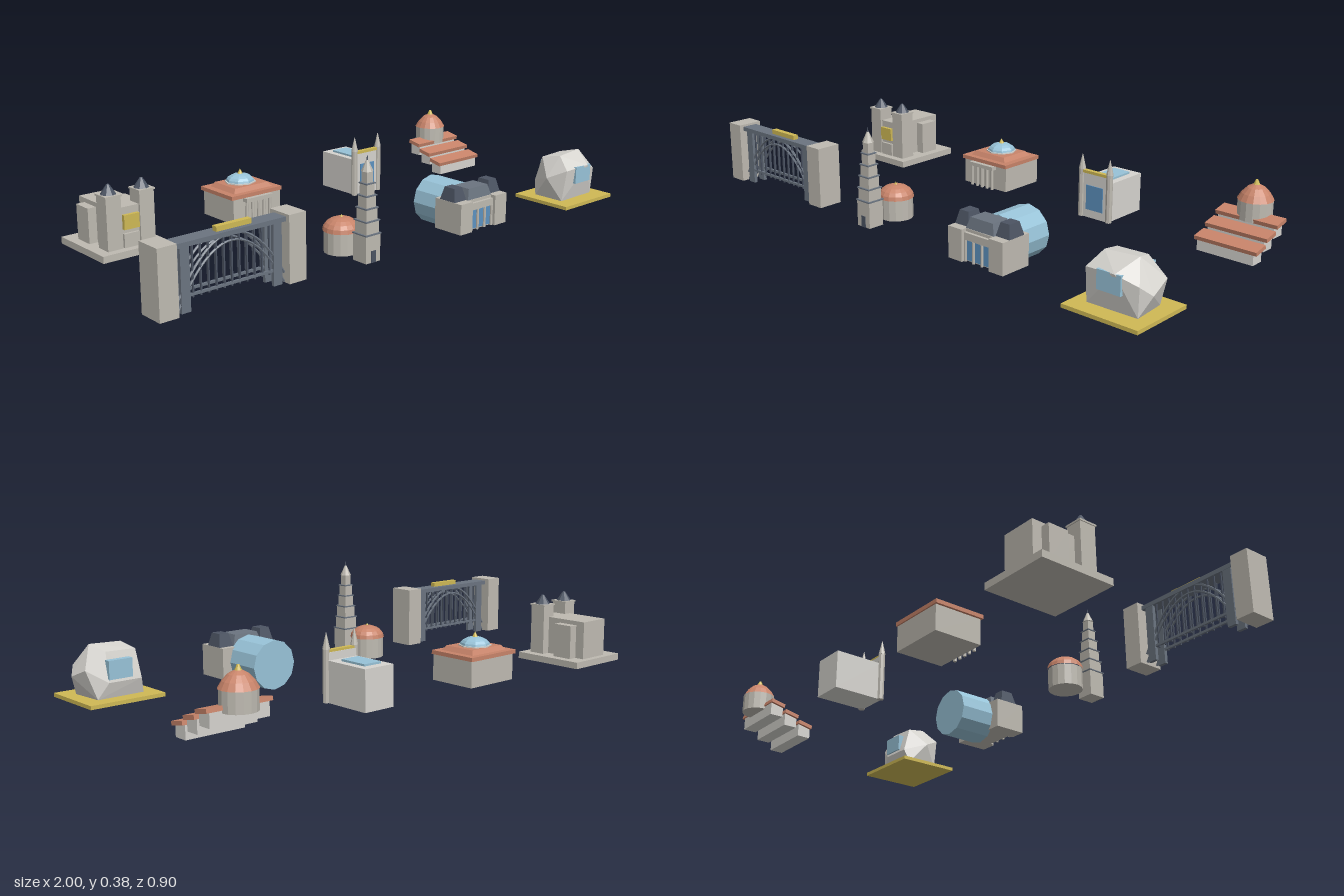
import * as THREE from 'three';
import { ConvexGeometry } from 'three/addons/geometries/ConvexGeometry.js';

const mat = (color) => new THREE.MeshStandardMaterial({ color, flatShading: true });
const stone = mat(0xbebab1), white = mat(0xd6d4cf), slate = mat(0x6b7480), dark = mat(0x4c5463);
const tile = mat(0xc8846a), gold = mat(0xcfb955), glass = mat(0x98c3d8), blue = mat(0x5d92c0);

function add(parent, name, geo, material, x = 0, y = 0, z = 0) {
  const m = new THREE.Mesh(geo, material);
  m.name = name;
  m.position.set(x, y, z);
  parent.add(m);
  return m;
}

// Box given by its extents
function box(parent, name, material, x0, x1, y0, y1, z0, z1) {
  return add(parent, name, new THREE.BoxGeometry(x1 - x0, y1 - y0, z1 - z0), material,
    (x0 + x1) / 2, (y0 + y1) / 2, (z0 + z1) / 2);
}

// Upright cylinder, cone or frustum between two heights
function drum(parent, name, material, x, z, y0, y1, rBottom, rTop = rBottom, sides = 16) {
  return add(parent, name, new THREE.CylinderGeometry(rTop, rBottom, y1 - y0, sides), material, x, (y0 + y1) / 2, z);
}

// Four-sided tapered block aligned to the axes
function taper(parent, name, material, x, z, y0, y1, w, d, top) {
  const geo = new THREE.CylinderGeometry(top * Math.SQRT1_2, Math.SQRT1_2, y1 - y0, 4);
  geo.rotateY(Math.PI / 4).scale(w, 1, d);
  return add(parent, name, geo, material, x, (y0 + y1) / 2, z);
}

// Half-dome squashed to a height
function dome(parent, name, material, x, y, z, r, h, sides = 16) {
  const geo = new THREE.SphereGeometry(r, sides, 5, 0, Math.PI * 2, 0, Math.PI / 2);
  geo.scale(1, h / r, 1);
  return add(parent, name, geo, material, x, y, z);
}

function section(root, name) {
  const g = new THREE.Group();
  g.name = name;
  root.add(g);
  return g;
}

function bridge(root) {
  const g = section(root, 'archBridge');
  const cx = -0.73, half = 0.195;
  for (const [a, b] of [[-1, -0.934], [-0.53, -0.464]]) box(g, 'pylon', stone, a, b, 0.03, 0.252, 0.277, 0.371);
  box(g, 'deck', slate, -0.936, -0.528, 0.229, 0.244, 0.297, 0.355);
  box(g, 'train', gold, -0.775, -0.647, 0.244, 0.26, 0.318, 0.338);
  const archY = (t, base, top) => base + (top - base) * (1 - t * t);
  for (const z of [0.304, 0.348]) {
    for (const [base, top, r] of [[0.065, 0.236, 0.0045], [0.035, 0.212, 0.004]]) {
      const pts = [];
      for (let i = 0; i <= 12; i++) {
        const t = i / 6 - 1;
        pts.push(new THREE.Vector3(cx + t * half, archY(t, base, top), z));
      }
      add(g, 'archChord', new THREE.TubeGeometry(new THREE.CatmullRomCurve3(pts), 32, r, 5), slate);
    }
    for (let i = 1; i < 14; i++) {
      const x = cx + (i / 7 - 1) * half;
      box(g, 'hanger', dark, x - 0.0025, x + 0.0025, 0.07, 0.232, z - 0.0025, z + 0.0025);
    }
    box(g, 'lowerBeam', slate, -0.89, -0.57, 0.076, 0.084, z - 0.004, z + 0.004);
    for (const s of [-1, 1]) box(g, 'endPost', slate, cx + s * 0.168 - 0.016, cx + s * 0.168 + 0.016, 0.03, 0.232, z - 0.006, z + 0.006);
  }
}

function cathedral(root) {
  const g = section(root, 'twinTowerChurch');
  box(g, 'plinth', stone, -0.86, -0.608, 0.028, 0.052, -0.448, -0.173);
  box(g, 'nave', stone, -0.797, -0.673, 0.052, 0.19, -0.425, -0.21);
  box(g, 'transept', stone, -0.828, -0.64, 0.052, 0.175, -0.39, -0.315);
  box(g, 'frontWindow', gold, -0.762, -0.704, 0.115, 0.165, -0.212, -0.197);
  box(g, 'frontDoor', stone, -0.762, -0.704, 0.052, 0.1, -0.212, -0.2);
  for (const x of [-0.796, -0.67]) {
    box(g, 'tower', stone, x - 0.028, x + 0.028, 0.052, 0.232, -0.262, -0.202);
    box(g, 'towerLedge', stone, x - 0.031, x + 0.031, 0.232, 0.238, -0.265, -0.198);
    drum(g, 'towerSpire', dark, x, -0.232, 0.238, 0.271, 0.027, 0.005, 8);
  }
}

function domedHall(root) {
  const g = section(root, 'domedHall');
  box(g, 'hall', stone, -0.305, -0.095, 0.03, 0.125, -0.4, -0.22);
  box(g, 'roofSlab', tile, -0.314, -0.092, 0.122, 0.136, -0.405, -0.215);
  taper(g, 'raisedRoof', tile, -0.203, -0.31, 0.136, 0.152, 0.17, 0.145, 0.85);
  drum(g, 'domeRing', white, -0.203, -0.315, 0.15, 0.156, 0.057, 0.057, 8);
  dome(g, 'dome', glass, -0.203, 0.154, -0.315, 0.053, 0.03, 8);
  drum(g, 'finial', gold, -0.203, -0.315, 0.181, 0.201, 0.011, 0, 8);
  box(g, 'porchBeam', stone, -0.262, -0.146, 0.108, 0.122, -0.22, -0.198);
  for (let i = 0; i < 5; i++) drum(g, 'porchColumn', stone, -0.255 + i * 0.0255, -0.207, 0.03, 0.108, 0.006, 0.006, 8);
}

function steeple(root) {
  const g = section(root, 'steepleAndRotunda');
  const x = -0.203, z = 0.363;
  // Stacked tiers, each narrower and capped by a ledge
  const levels = [0.03, 0.125, 0.169, 0.211, 0.252, 0.292, 0.33];
  for (let i = 0; i < 6; i++) {
    const h = 0.033 - i * 0.0036;
    box(g, 'tier', stone, x - h + 0.002, x + h - 0.002, levels[i], levels[i + 1], z - h + 0.002, z + h - 0.002);
    if (i < 5) box(g, 'tierLedge', slate, x - h - 0.001, x + h + 0.001, levels[i + 1] - 0.003, levels[i + 1] + 0.001, z - h - 0.001, z + h + 0.001);
  }
  drum(g, 'steepleRoof', stone, x, z, 0.33, 0.366, 0.02, 0.004, 8);
  drum(g, 'steepleTip', dark, x, z, 0.364, 0.382, 0.003, 0.001, 6);
  box(g, 'door', dark, x - 0.01, x + 0.01, 0.03, 0.07, z + 0.03, z + 0.033);
  drum(g, 'rotunda', stone, x, 0.24, 0.03, 0.105, 0.06);
  dome(g, 'rotundaDome', tile, x, 0.105, 0.24, 0.064, 0.045);
  drum(g, 'rotundaFinial', gold, x, 0.24, 0.147, 0.158, 0.007, 0, 8);
}

function spiredHall(root) {
  const g = section(root, 'spiredHall');
  box(g, 'hall', white, 0.27, 0.39, 0.03, 0.169, -0.402, -0.222);
  box(g, 'skylight', glass, 0.294, 0.364, 0.169, 0.176, -0.37, -0.262);
  box(g, 'facade', white, 0.272, 0.388, 0.03, 0.195, -0.228, -0.213);
  box(g, 'facadeBeam', gold, 0.266, 0.394, 0.193, 0.203, -0.226, -0.209);
  box(g, 'facadeWindow', blue, 0.294, 0.366, 0.06, 0.15, -0.22, -0.21);
  for (const x of [0.27, 0.39]) {
    drum(g, 'turret', stone, x, -0.217, 0.03, 0.205, 0.012, 0.012, 8);
    drum(g, 'spire', stone, x, -0.217, 0.205, 0.258, 0.013, 0.001, 8);
  }
}

function station(root) {
  const g = section(root, 'stationHall');
  const cx = 0.327;
  // Twelve-sided glazed barrel lying along z
  const barrel = add(g, 'glassBarrel', new THREE.CylinderGeometry(0.0875, 0.0875, 0.147, 12), glass, cx, 0.0875, 0.2085);
  barrel.rotation.x = Math.PI / 2;
  for (const s of [-1, 1]) {
    const x = cx + s * 0.088;
    box(g, 'wing', stone, x - 0.03, x + 0.03, 0.03, 0.14, 0.272, 0.395);
    taper(g, 'wingRoof', dark, x, 0.328, 0.14, 0.186, 0.058, 0.07, 0.66);
  }
  box(g, 'centreBlock', stone, cx - 0.06, cx + 0.06, 0.03, 0.14, 0.28, 0.375);
  taper(g, 'centreRoof', slate, cx, 0.33, 0.14, 0.178, 0.12, 0.085, 0.8);
  box(g, 'cornice', stone, cx - 0.056, cx + 0.056, 0.105, 0.13, 0.37, 0.386);
  for (let i = 0; i < 3; i++) {
    const x = cx + (i - 1) * 0.036;
    box(g, 'tallWindow', blue, x - 0.013, x + 0.013, 0.035, 0.105, 0.37, 0.38);
  }
  for (let i = 0; i < 4; i++) drum(g, 'column', stone, cx + (i - 1.5) * 0.036, 0.382, 0.03, 0.105, 0.005, 0.005, 8);
}

function facetedPavilion(root) {
  const g = section(root, 'facetedPavilion');
  box(g, 'terrace', gold, 0.722, 0.996, 0.029, 0.042, 0.208, 0.45);
  const points = [
    [0.8, 0.205, 0.35], [0.92, 0.211, 0.343], [0.9, 0.193, 0.273], [0.79, 0.19, 0.275],
    [0.745, 0.125, 0.335], [0.98, 0.11, 0.355], [0.972, 0.14, 0.278], [0.905, 0.095, 0.248],
    [0.785, 0.095, 0.248], [0.955, 0.14, 0.39], [0.885, 0.168, 0.415], [0.775, 0.16, 0.405],
    [0.77, 0.042, 0.265], [0.94, 0.042, 0.262], [0.95, 0.042, 0.385], [0.77, 0.042, 0.39],
  ].map((p) => new THREE.Vector3(...p));
  add(g, 'facetedShell', new ConvexGeometry(points), white);
  box(g, 'windowBand', glass, 0.82, 0.906, 0.105, 0.168, 0.244, 0.413);
}

function terraces(root) {
  const g = section(root, 'terracedHouse');
  for (let i = 0; i < 3; i++) {
    const z = -0.244 - i * 0.061, y = 0.025 + i * 0.029;
    box(g, 'terraceBlock', white, 0.752, 0.962, y, y + 0.05, z - 0.025, z + 0.025);
    const roof = box(g, 'tiledRoof', tile, 0.742, 0.974, y + 0.041, y + 0.055, z - 0.0285, z + 0.0285);
    roof.rotation.x = 0.2;
  }
  drum(g, 'rotunda', stone, 0.86, -0.39, 0.12, 0.187, 0.059);
  const profile = [[0.061, 0.185], [0.048, 0.207], [0.03, 0.226], [0.012, 0.236], [0, 0.237]];
  add(g, 'rotundaRoof', new THREE.LatheGeometry(profile.map((p) => new THREE.Vector2(...p)), 16), tile, 0.86, 0, -0.39);
  drum(g, 'rotundaFinial', gold, 0.86, -0.39, 0.228, 0.252, 0.015, 0.004, 8);
}

export function createModel() {
  const root = new THREE.Group();
  root.name = 'landmarkSet';
  for (const build of [bridge, cathedral, domedHall, steeple, spiredHall, station, facetedPavilion, terraces]) build(root);
  return root;
}
